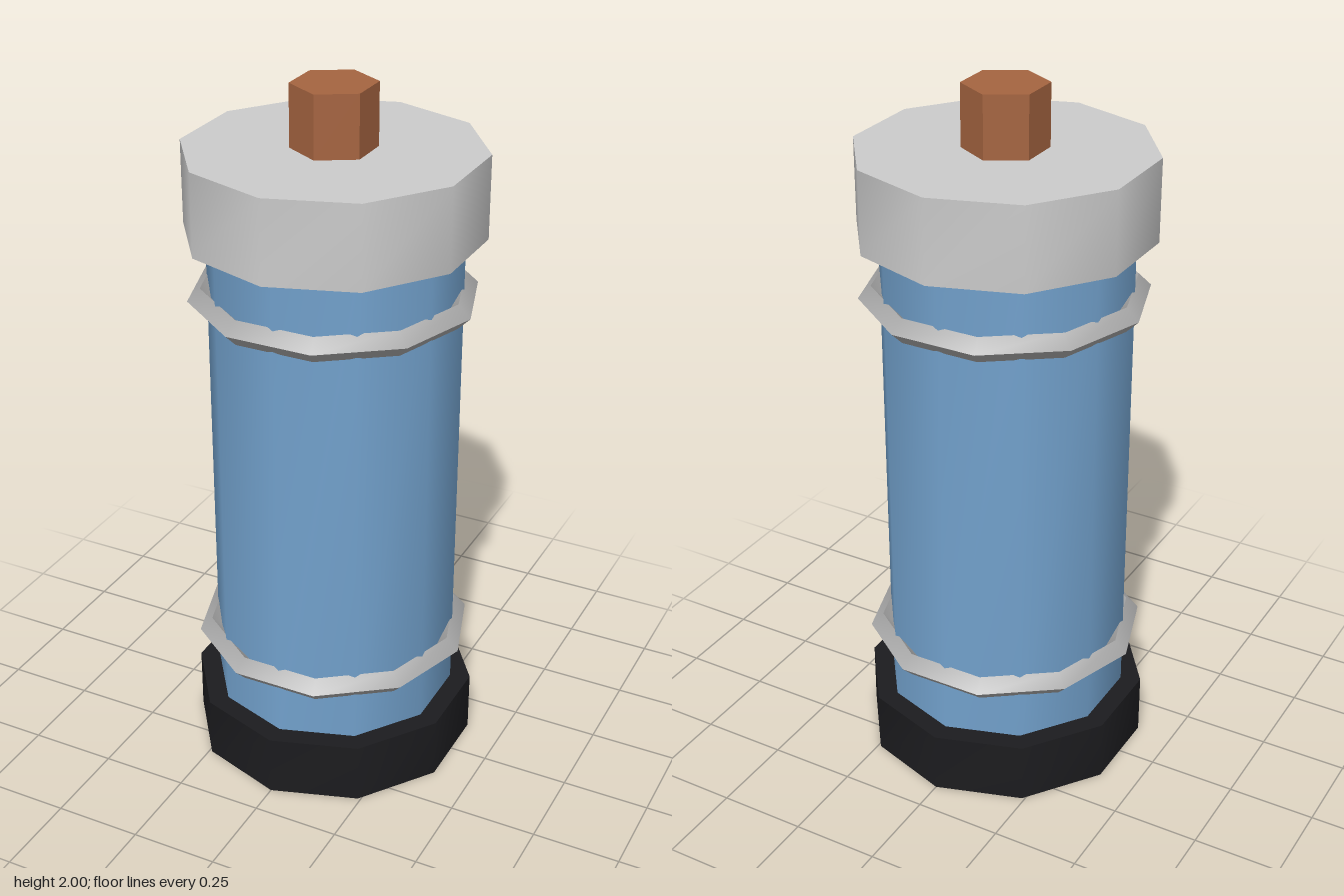
import * as THREE from 'three';
import { toCreasedNormals } from 'three/addons/utils/BufferGeometryUtils.js';

const SIDES = 10;
const CREASE = 0.7; // smooth around the ten sides, sharp at rims and hex corners

export function createModel() {
  const model = new THREE.Group();

  function addPart(name, geometry, color, y) {
    const material = new THREE.MeshStandardMaterial({ color });
    const mesh = new THREE.Mesh(toCreasedNormals(geometry, CREASE), material);
    mesh.name = name;
    mesh.position.y = y;
    model.add(mesh);
  }

  function addPrism(name, radius, bottom, top, sides, color) {
    const geometry = new THREE.CylinderGeometry(radius, radius, top - bottom, sides);
    addPart(name, geometry, color, (bottom + top) / 2);
  }

  // Stacked prisms, from the foot to the terminal
  addPrism('base', 0.411, 0, 0.18, SIDES, 0x1c1c1f);
  addPrism('body', 0.352, 0.18, 1.592, SIDES, 0x72a1cc);
  addPrism('cap', 0.411, 1.592, 1.826, SIDES, 0xcccccc);
  addPrism('terminal', 0.117, 1.826, 2, 6, 0xa56440);

  // Diamond-section bands around the body
  for (const [name, y] of [['lowerRing', 0.356], ['upperRing', 1.415]]) {
    const ring = new THREE.TorusGeometry(0.364, 0.0355, 4, SIDES).rotateX(Math.PI / 2);
    addPart(name, ring, 0xaaaaaa, y);
  }

  return model;
}
